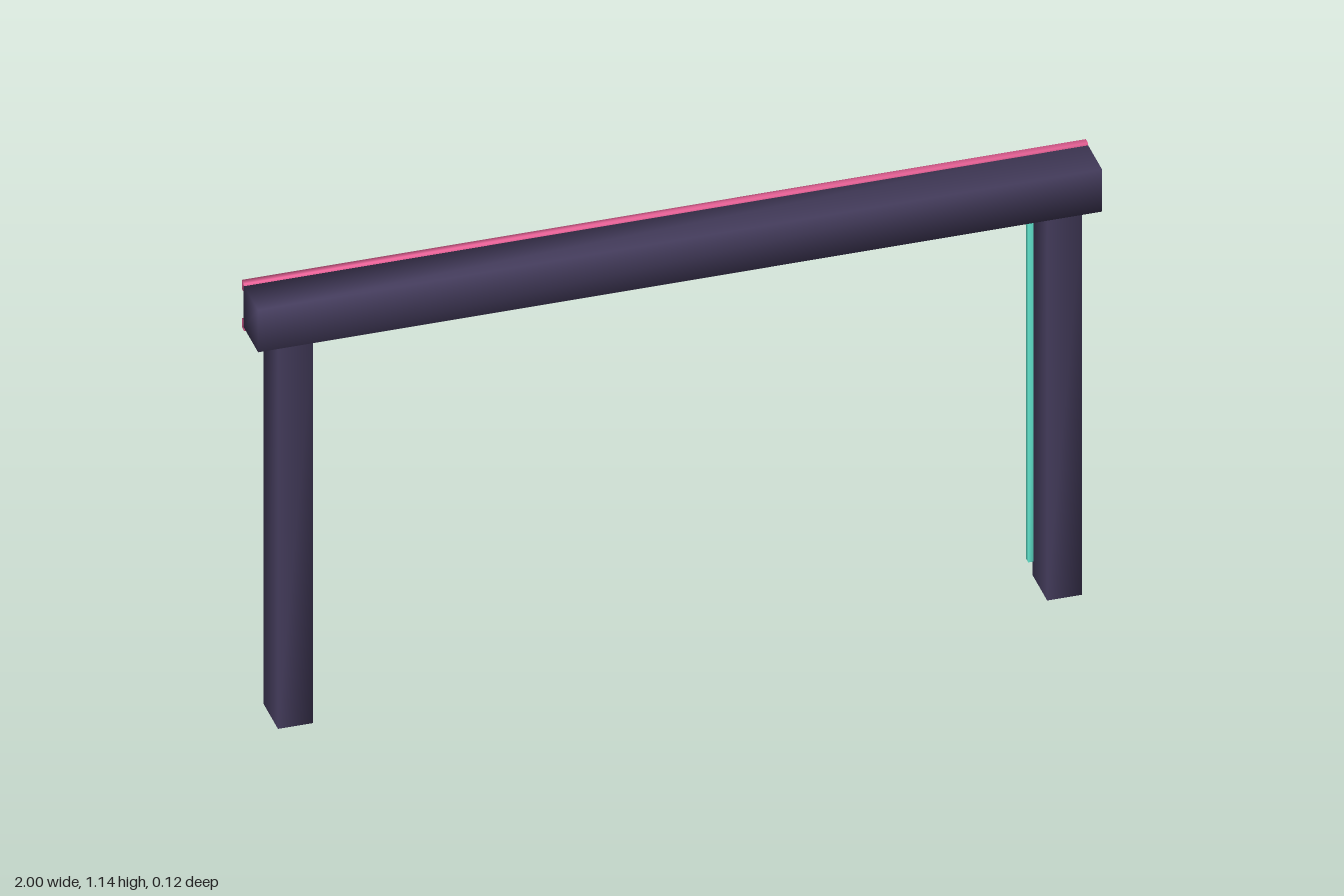
import * as THREE from 'three';
import { mergeVertices } from 'three/addons/utils/BufferGeometryUtils.js';

const frameMat = new THREE.MeshStandardMaterial({ color: 0x443c5c });
const pinkMat = new THREE.MeshStandardMaterial({ color: 0xf0659c });
const tealMat = new THREE.MeshStandardMaterial({ color: 0x62e6cf });

// Box with normals shared across its corners, for soft shading
function softBox(name, material, [w, h, d], [x, y, z]) {
  const box = new THREE.BoxGeometry(w, h, d);
  box.deleteAttribute('normal');
  box.deleteAttribute('uv');
  const geometry = mergeVertices(box);
  geometry.computeVertexNormals();
  const mesh = new THREE.Mesh(geometry, material);
  mesh.name = name;
  mesh.position.set(x, y, z);
  return mesh;
}

export function createModel() {
  const model = new THREE.Group();
  model.name = 'gateway';

  // Crossbeam resting on the posts
  model.add(softBox('crossbeam', frameMat, [2, 0.113, 0.112], [0, 1.0765, 0.006]));

  // Light strips along the beam's back edges
  model.add(softBox('upperBeamStrip', pinkMat, [2, 0.024, 0.018], [0, 1.127, -0.053]));
  model.add(softBox('lowerBeamStrip', pinkMat, [2, 0.024, 0.018], [0, 1.024, -0.053]));

  // Posts, each with a light strip on its inner back edge
  for (const [side, s] of [['left', 1], ['right', -1]]) {
    model.add(softBox(side + 'Post', frameMat, [0.083, 1.02, 0.112], [s * 0.9115, 0.51, 0.006]));
    model.add(softBox(side + 'PostStrip', tealMat, [0.024, 0.94, 0.018], [s * 0.87, 0.51, -0.053]));
  }
  return model;
}
